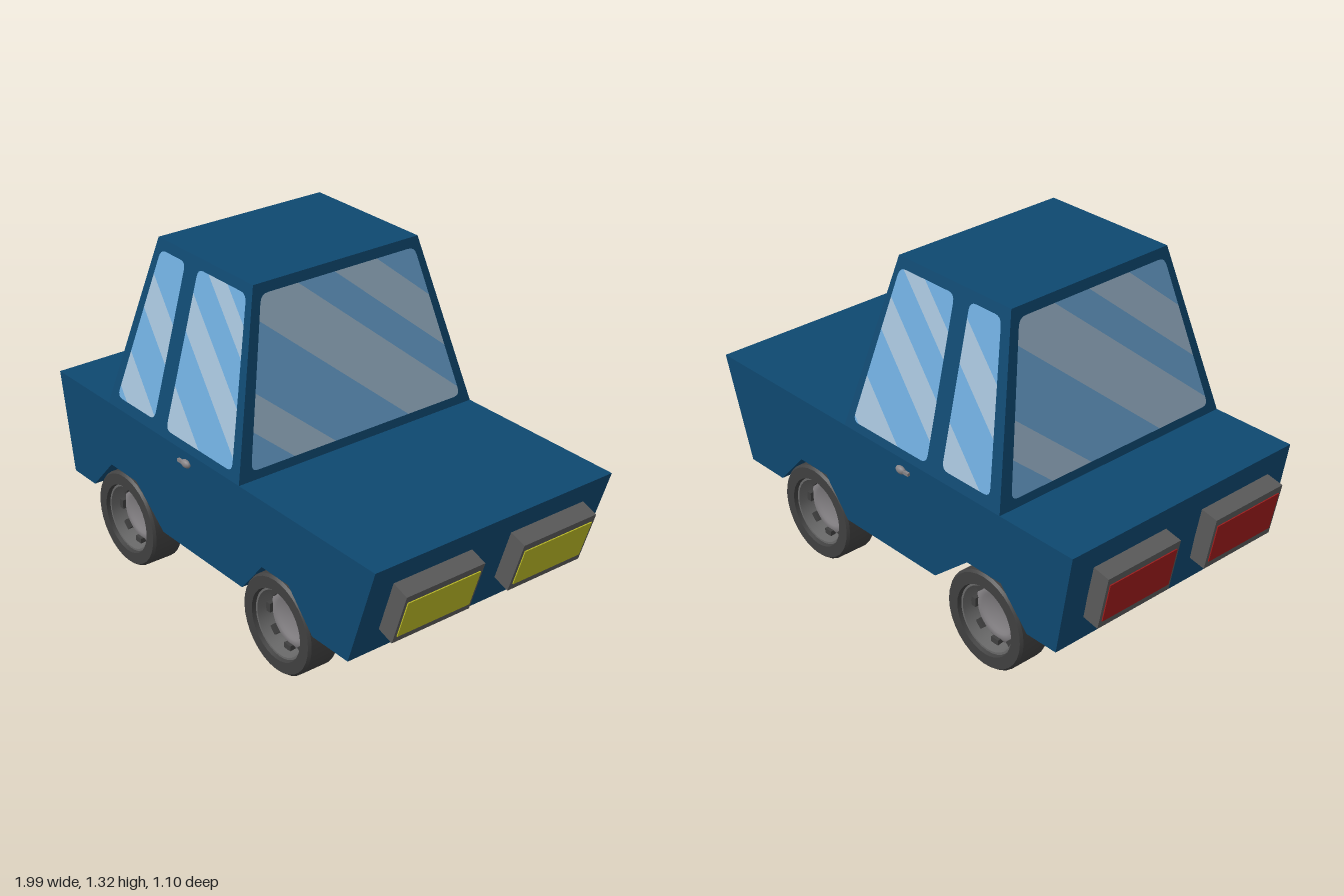
import * as THREE from 'three';
import { toCreasedNormals } from 'three/addons/utils/BufferGeometryUtils.js';

const mat = (name, color) => {
  const m = new THREE.MeshStandardMaterial({ color });
  m.name = name;
  return m;
};

export function createModel() {
  const paint = mat('blue paint', 0x0e4870);
  const glass = mat('window blue', 0x6eaada);
  const glint = mat('window stripe', 0xa3bfd6);
  const rubber = mat('tyre rubber', 0x404040);
  const rimGrey = mat('rim grey', 0x686868);
  const hubGrey = mat('hub grey', 0x858285);
  const frameGrey = mat('lamp frame grey', 0x5a5a5a);
  const yellow = mat('headlamp yellow', 0xbab926);
  const red = mat('tail lamp red', 0xa01c1c);

  const car = new THREE.Group();
  car.name = 'car';
  const add = (parent, name, geometry, material, x = 0, y = 0, z = 0) => {
    const mesh = new THREE.Mesh(geometry, material);
    mesh.name = name;
    mesh.position.set(x, y, z);
    parent.add(mesh);
    return mesh;
  };

  // Lower body: side profile with two wheel arches, extruded across
  const profile = [
    [-0.94, 0.655], [-0.87, 0.25], [-0.73, 0.25], [-0.6, 0.39], [-0.43, 0.39], [-0.26, 0.25],
    [0.23, 0.25], [0.35, 0.39], [0.5, 0.39], [0.63, 0.25], [0.82, 0.25], [0.955, 0.655],
  ].map(([x, y]) => new THREE.Vector2(x, y));
  const bodyGeo = new THREE.ExtrudeGeometry(new THREE.Shape(profile), { depth: 1.07, bevelEnabled: false });
  add(car, 'body', bodyGeo.translate(0, 0, -0.535), paint);

  // Cabin: a box tapered towards the roof
  const base = 0.655, rise = 0.66;
  const halfX = [0.41, 0.2825], halfZ = [0.535, 0.367];
  const cabin = new THREE.Group();
  cabin.name = 'cabin';
  cabin.position.x = -0.185;
  car.add(cabin);
  const cabinGeo = new THREE.BoxGeometry(2, rise, 2);
  const p = cabinGeo.attributes.position;
  for (let i = 0; i < p.count; i++) {
    const top = p.getY(i) > 0 ? 1 : 0;
    p.setXYZ(i, p.getX(i) * halfX[top], p.getY(i), p.getZ(i) * halfZ[top]);
  }
  cabinGeo.computeVertexNormals();
  add(cabin, 'cabinShell', cabinGeo, paint, 0, base + rise / 2, 0);

  // Rounds the corners of a convex outline
  const roundOutline = (corners, r) => {
    const pts = corners.map(([x, y]) => new THREE.Vector2(x, y));
    return pts.flatMap((c, i) => {
      const prev = pts[(i + pts.length - 1) % pts.length], next = pts[(i + 1) % pts.length];
      const a = prev.clone().sub(c).setLength(r).add(c);
      const b = next.clone().sub(c).setLength(r).add(c);
      return new THREE.QuadraticBezierCurve(a, c, b).getPoints(4);
    });
  };
  // Keeps the part of a polygon where f >= 0
  const clip = (pts, f) => pts.flatMap((a, i) => {
    const b = pts[(i + 1) % pts.length], fa = f(a), fb = f(b);
    const out = fa >= 0 ? [a] : [];
    if ((fa >= 0) !== (fb >= 0)) out.push(a.clone().lerp(b, fa / (fa - fb)));
    return out;
  });

  // Window on a sloping cabin wall, cut into alternating diagonal bands
  const addWindow = (name, corners, half, angle, edges) => {
    const group = new THREE.Group();
    group.name = name;
    group.rotation.y = angle;
    cabin.add(group);
    const centre = corners.reduce((s, c) => s + c[0], 0) / 4;
    const level = (v) => v.y + 0.84 * (v.x - centre);
    const outline = roundOutline(corners, 0.03);
    const cuts = [-9, ...edges, 9];
    for (let i = 0; i < cuts.length - 1; i++) {
      let band = clip(outline, (v) => level(v) - cuts[i]);
      band = clip(band, (v) => cuts[i + 1] - level(v));
      if (band.length < 3) continue;
      const geo = new THREE.ShapeGeometry(new THREE.Shape(band));
      const q = geo.attributes.position;
      for (let k = 0; k < q.count; k++) {
        q.setZ(k, half[0] + 0.005 - (half[0] - half[1]) * (q.getY(k) - base) / rise);
      }
      geo.computeVertexNormals();
      add(group, i % 2 ? 'glassStripe' : 'glassPane', geo, i % 2 ? glint : glass);
    }
  };
  const screen = [[-0.48, 0.69], [0.485, 0.69], [0.343, 1.28], [-0.343, 1.28]];
  const screenBands = [0.445, 0.6, 0.885, 1.125, 1.26, 1.42];
  addWindow('windscreen', screen, halfX, Math.PI / 2, screenBands);
  addWindow('rearWindow', screen, halfX, -Math.PI / 2, screenBands);
  const frontDoor = [[-0.035, 0.69], [0.365, 0.69], [0.262, 1.28], [-0.02, 1.28]];
  const rearDoor = [[-0.355, 0.7], [-0.113, 0.7], [-0.097, 1.28], [-0.25, 1.28]];
  const flip = (corners) => corners.map(([x, y]) => [-x, y]).reverse();
  for (const side of [1, -1]) {
    const angle = side > 0 ? 0 : Math.PI;
    const shape = (c) => (side > 0 ? c : flip(c));
    addWindow('frontDoorWindow', shape(frontDoor), halfZ, angle, [0.53, 0.71, 0.915, 1.055, 1.195, 1.29]);
    addWindow('rearDoorWindow', shape(rearDoor), halfZ, angle, [0.625, 0.785, 0.985, 1.135]);

    // Door handle
    const handle = add(car, 'doorHandle', new THREE.SphereGeometry(1, 12, 8), hubGrey, -0.09, 0.61, side * 0.538);
    handle.scale.set(0.025, 0.016, 0.014);
    add(car, 'handleLever', new THREE.BoxGeometry(0.045, 0.012, 0.012), hubGrey, -0.112, 0.61, side * 0.54);
  }

  // Lamps: a tilted frame with a thin lens on its outer face
  const addLamp = (name, x, z, tilt, dir, lensMat) => {
    const lamp = new THREE.Group();
    lamp.name = name;
    lamp.position.set(x, 0.453, z);
    lamp.rotation.z = tilt;
    car.add(lamp);
    add(lamp, 'lampFrame', new THREE.BoxGeometry(0.07, 0.222, 0.342), frameGrey);
    add(lamp, 'lampLens', new THREE.BoxGeometry(0.006, 0.162, 0.318), lensMat, dir * 0.036, 0, 0);
  };
  for (const z of [0.265, -0.255]) {
    addLamp('headlamp', 0.928, z, -0.32, 1, yellow);
    addLamp('tailLamp', -0.941, z, 0.2, -1, red);
  }

  // Wheels: closed inside, recessed rim with slots outside
  const lathe = (pts) => toCreasedNormals(
    new THREE.LatheGeometry(pts.map(([x, y]) => new THREE.Vector2(x, y)), 32), 0.6);
  const tyreGeo = lathe([[0, 0], [0.19, 0], [0.19, 0.115], [0.182, 0.125], [0.138, 0.125], [0.134, 0.11]]);
  const rimGeo = lathe([[0.134, 0.11], [0.126, 0.11], [0.118, 0.05], [0.105, 0.05]]);
  const hubGeo = lathe([[0.118, 0.05], [0.1, 0.062], [0.08, 0.062], [0.07, 0.056], [0, 0.056]]);
  const slotGeo = new THREE.BoxGeometry(0.022, 0.03, 0.036);
  for (const x of [-0.515, 0.425]) {
    for (const side of [1, -1]) {
      const wheel = new THREE.Group();
      wheel.name = 'wheel';
      wheel.position.set(x, 0.19, side * 0.41);
      wheel.rotation.x = side * Math.PI / 2;
      car.add(wheel);
      add(wheel, 'tyre', tyreGeo, rubber);
      add(wheel, 'rim', rimGeo, rimGrey);
      add(wheel, 'hub', hubGeo, hubGrey);
      for (let i = 0; i < 8; i++) {
        const a = i * Math.PI / 4;
        const slot = add(wheel, 'rimSlot', slotGeo, rubber, 0.11 * Math.cos(a), 0.06, -0.11 * Math.sin(a));
        slot.rotation.y = a;
      }
    }
  }
  return car;
}
